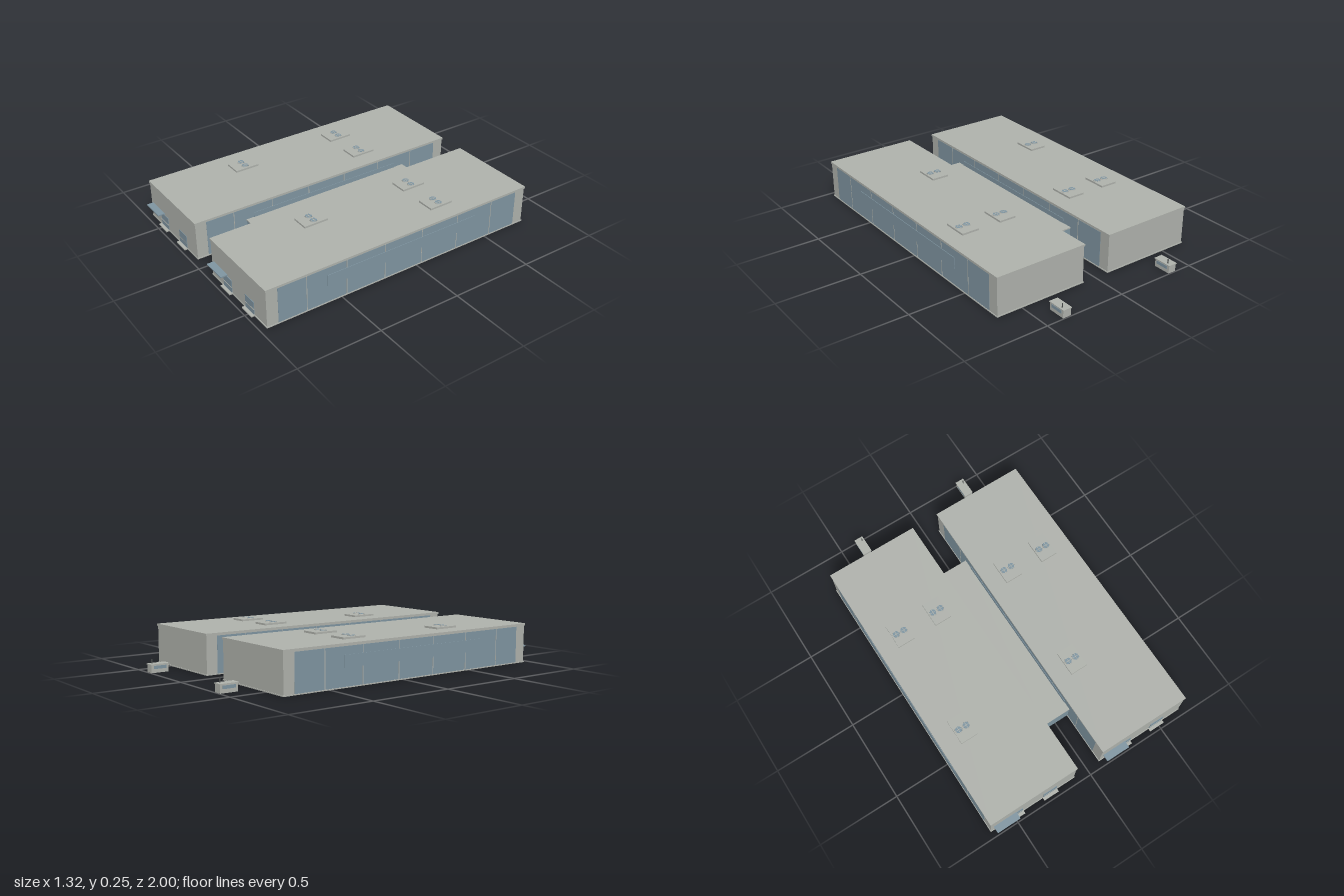
import * as THREE from 'three';

const wall = new THREE.MeshStandardMaterial({ color: 0xb0b3ad });
wall.name = 'wallGrey';
const glass = new THREE.MeshStandardMaterial({ color: 0x8096a2 });
glass.name = 'glassBlue';
const dark = new THREE.MeshStandardMaterial({ color: 0x4a4d4d });
dark.name = 'darkMetal';

// Box given by its lower and upper limits on each axis
function box(parent, name, mat, x0, x1, y0, y1, z0, z1) {
  const mesh = new THREE.Mesh(new THREE.BoxGeometry(x1 - x0, y1 - y0, z1 - z0), mat);
  mesh.position.set((x0 + x1) / 2, (y0 + y1) / 2, (z0 + z1) / 2);
  mesh.name = name;
  parent.add(mesh);
  return mesh;
}

// Rooftop cooling unit with twin fans
function roofUnit(x, z) {
  const unit = new THREE.Group();
  unit.name = 'roofUnit';
  box(unit, 'unitCasing', wall, -0.053, 0.053, 0, 0.012, -0.075, 0.075);
  for (const fx of [-0.025, 0.025]) {
    const rim = new THREE.Mesh(new THREE.CylinderGeometry(0.021, 0.022, 0.004, 20), wall);
    rim.name = 'fanRim';
    rim.position.set(fx, 0.014, 0);
    const fan = new THREE.Mesh(new THREE.CylinderGeometry(0.019, 0.019, 0.001, 20), glass);
    fan.name = 'fan';
    fan.position.set(fx, 0.0165, 0);
    unit.add(rim, fan);
    box(unit, 'fanBar', wall, fx - 0.019, fx + 0.019, 0.0165, 0.0175, -0.0015, 0.0015);
    box(unit, 'fanBar', wall, fx - 0.0015, fx + 0.0015, 0.0165, 0.0175, -0.019, 0.019);
  }
  unit.position.set(x, 0.234, z);
  return unit;
}

// Front door with crossbar and step
function door(parent, x) {
  box(parent, 'door', glass, x - 0.044, x + 0.044, 0.006, 0.085, 0.955, 0.961);
  box(parent, 'doorCrossbar', wall, x - 0.044, x + 0.044, 0.038, 0.042, 0.958, 0.963);
  box(parent, 'doorStep', wall, x - 0.049, x + 0.049, 0, 0.007, 0.955, 0.98);
}

// Small cabin standing behind each hall
function cabin(parent) {
  box(parent, 'cabinBody', wall, -0.398, -0.348, 0, 0.045, -0.995, -0.89);
  box(parent, 'cabinRoof', wall, -0.401, -0.345, 0.045, 0.05, -1, -0.885);
  box(parent, 'cabinWindow', glass, -0.35, -0.346, 0.022, 0.04, -0.98, -0.903);
  box(parent, 'cabinWindow', glass, -0.4, -0.396, 0.022, 0.04, -0.98, -0.903);
  box(parent, 'cabinPost', dark, -0.362, -0.358, 0.05, 0.075, -0.976, -0.97);
}

function hall() {
  const g = new THREE.Group();
  const x0 = -0.659, x1 = -0.085;
  // Main volume with projecting roof edge and base
  box(g, 'hallBody', wall, x0 + 0.004, x1 - 0.004, 0.002, 0.23, -0.788, 0.958);
  box(g, 'roofEdge', wall, x0, x1, 0.222, 0.235, -0.792, 0.962);
  box(g, 'basePlinth', wall, x0, x1, 0, 0.006, -0.792, 0.962);

  // Long glazed walls on both sides
  for (const [x, s] of [[x0 + 0.004, -1], [x1 - 0.004, 1]]) {
    const side = (name, mat, out, y0, y1, z0, z1) =>
      box(g, name, mat, Math.min(x, x + s * out), Math.max(x, x + s * out), y0, y1, z0, z1);
    side('sideGlazing', glass, 0.001, 0.006, 0.219, -0.72, 0.89);
    for (let i = 0; i < 6; i++) {
      const z = 0.717 - i * 0.25;
      side('mullion', wall, 0.002, 0.006, 0.219, z - 0.002, z + 0.002);
    }
    side('windowBand', glass, 0.004, 0.106, 0.174, -0.41, 0.59);
  }

  // Entrance side
  door(g, -0.486);
  door(g, -0.257);
  box(g, 'canopy', glass, -0.636, -0.486, 0.09, 0.097, 0.955, 1);

  for (const [x, z] of [[-0.497, -0.255], [-0.248, -0.255], [-0.497, 0.42]]) g.add(roofUnit(x, z));
  cabin(g);
  return g;
}

export function createModel() {
  const model = new THREE.Group();
  model.name = 'twinHallBuilding';
  // Two identical halls side by side
  for (const [name, x] of [['rightHall', 0], ['leftHall', 0.743]]) {
    const h = hall();
    h.name = name;
    h.position.x = x;
    model.add(h);
  }
  // Glazed link between the halls
  box(model, 'linkGlazing', glass, -0.088, 0.087, 0.006, 0.138, -0.468, 0.636);
  box(model, 'linkRoof', wall, -0.088, 0.087, 0.138, 0.145, -0.472, 0.64);
  return model;
}
